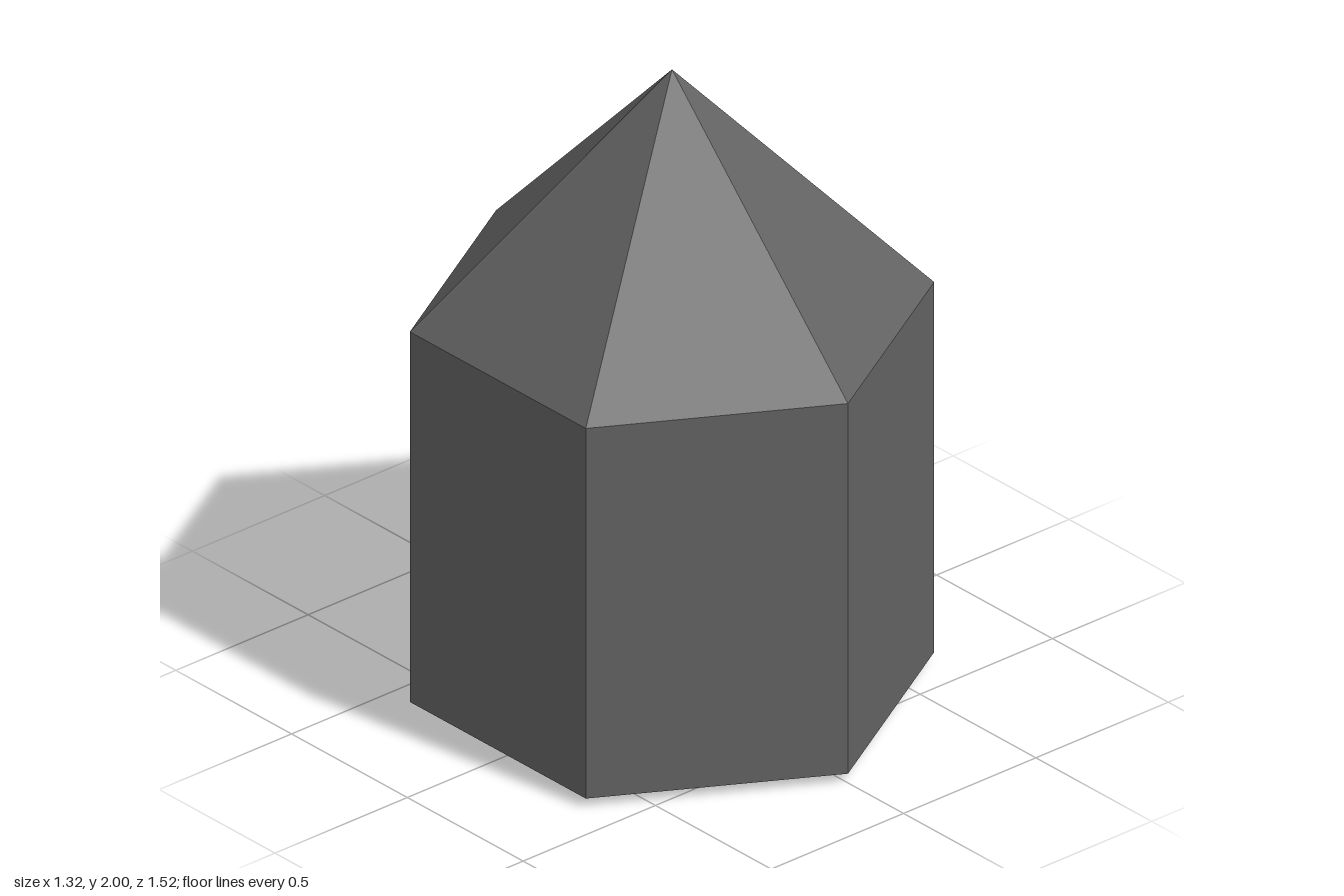
import * as THREE from 'three';

const RADIUS = 0.76;
const SIDES = 6;

export function createModel() {
  const group = new THREE.Group();
  group.name = 'crystal';

  const stone = new THREE.MeshStandardMaterial({ color: 0x626262, flatShading: true });
  stone.name = 'dark grey stone';

  // One open hexagonal band between two heights
  const addBand = (name, topRadius, bottomRadius, bottomY, topY) => {
    const height = topY - bottomY;
    const geometry = new THREE.CylinderGeometry(topRadius, bottomRadius, height, SIDES, 1, true);
    const mesh = new THREE.Mesh(geometry, stone);
    mesh.name = name;
    mesh.position.y = bottomY + height / 2;
    group.add(mesh);
  };

  addBand('shallowBase', RADIUS, 0, 0, 0.03);
  addBand('prismBody', RADIUS, RADIUS, 0.03, 1.23);
  addBand('pointedTip', 0, RADIUS, 1.23, 2);

  return group;
}
